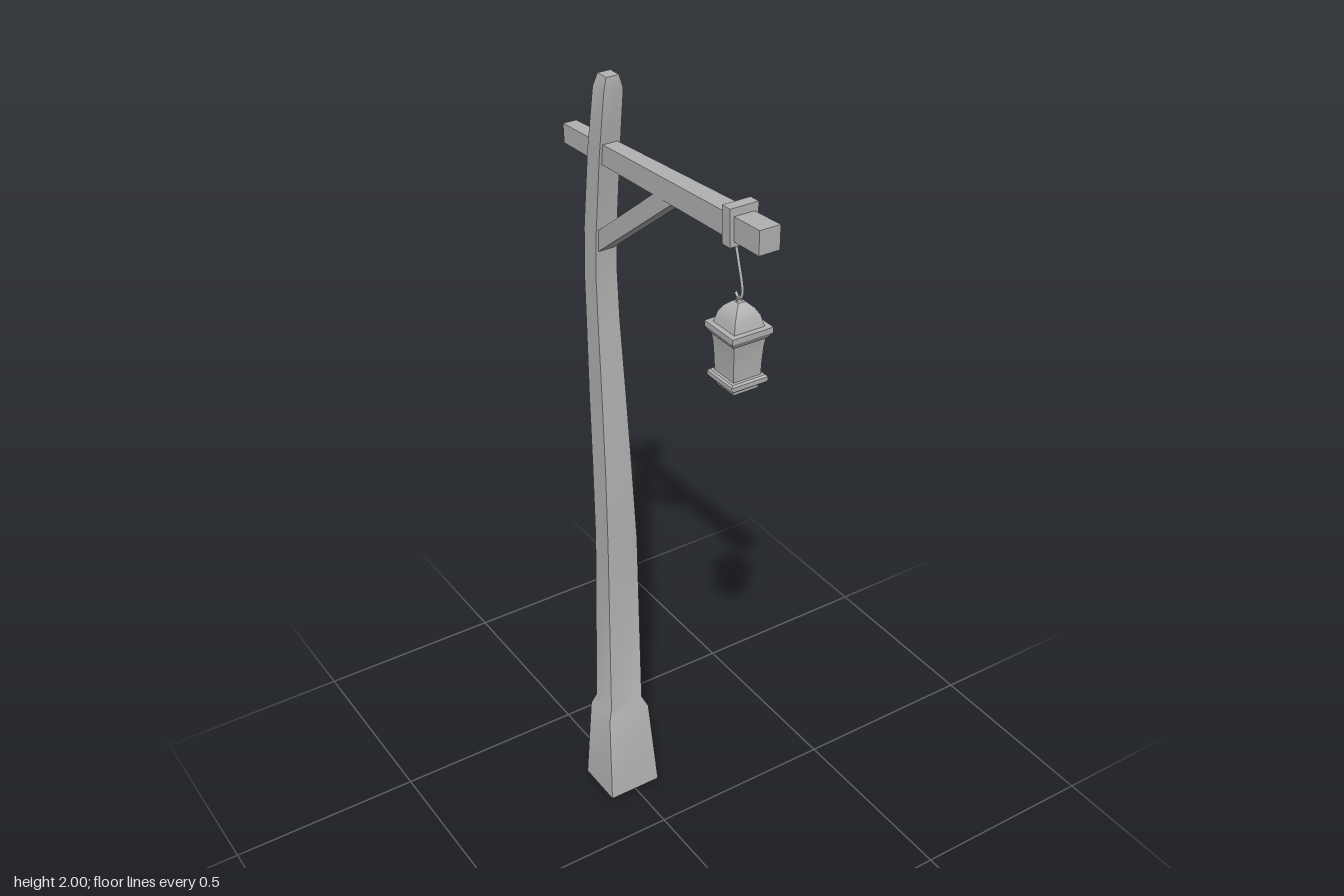
import * as THREE from 'three';
import { toCreasedNormals } from 'three/addons/utils/BufferGeometryUtils.js';

// Skin four-cornered rings into a solid; corners run counterclockwise seen from the last ring.
function loft(rings, capStart = true) {
  const pos = [];
  const quad = (a, b, c, d) => pos.push(...a, ...b, ...c, ...a, ...c, ...d);
  for (let r = 0; r < rings.length - 1; r++) {
    const lo = rings[r], hi = rings[r + 1];
    for (let i = 0; i < 4; i++) {
      const j = (i + 1) % 4;
      quad(lo[i], lo[j], hi[j], hi[i]);
    }
  }
  const first = rings[0], last = rings[rings.length - 1];
  quad(last[0], last[1], last[2], last[3]);
  if (capStart) quad(first[3], first[2], first[1], first[0]);
  const geo = new THREE.BufferGeometry();
  geo.setAttribute('position', new THREE.Float32BufferAttribute(pos, 3));
  return toCreasedNormals(geo, 0.45);
}

// Horizontal ring at height y, spanning z0 (front) to z1 (back)
const level = (y, hx, z0, z1, cx = 0) =>
  [[cx + hx, y, z0], [cx + hx, y, z1], [cx - hx, y, z1], [cx - hx, y, z0]];

// Ring for beams running towards the front: low and high corners as [z, y]
const section = (hx, low, high, cx = -0.004) =>
  [[cx + hx, low[1], low[0]], [cx + hx, high[1], high[0]],
    [cx - hx, high[1], high[0]], [cx - hx, low[1], low[0]]];

export function createModel() {
  const group = new THREE.Group();
  const grey = new THREE.MeshStandardMaterial({ color: 0xb4b4b4, side: THREE.DoubleSide });
  grey.name = 'grey';
  const add = (name, geo, parent = group) => {
    const mesh = new THREE.Mesh(geo, grey);
    mesh.name = name;
    parent.add(mesh);
    return mesh;
  };

  // Crooked post with flared foot, open underneath: y, half width, front z, back z
  const post = [
    [0, 0.073, -0.143, -0.273],
    [0.25, 0.06, -0.168, -0.262],
    [0.28, 0.047, -0.18, -0.255],
    [0.8, 0.042, -0.185, -0.244],
    [1.0, 0.037, -0.196, -0.256],
    [1.2, 0.033, -0.21, -0.269],
    [1.4, 0.029, -0.226, -0.279],
    [1.52, 0.028, -0.232, -0.283],
    [1.63, 0.027, -0.228, -0.279],
    [1.82, 0.026, -0.208, -0.257],
    [1.97, 0.024, -0.187, -0.232],
    [2.0, 0.016, -0.19, -0.224],
  ];
  add('post', loft(post.map(([y, hx, z0, z1]) => level(y, hx, z0, z1, -0.004 * y / 2)), false));

  // Tapered cross arm and its diagonal brace
  add('arm', loft([
    section(0.017, [-0.372, 1.791], [-0.375, 1.836]),
    section(0.025, [0.375, 1.83], [0.375, 1.884]),
  ]));
  add('brace', loft([
    section(0.02, [-0.24, 1.577], [-0.24, 1.628]),
    section(0.02, [0.075, 1.822], [0.0, 1.815]),
  ]));

  // Strap around the arm
  const strap = add('strap', new THREE.BoxGeometry(0.068, 0.082, 0.027));
  strap.position.set(-0.004, 1.855, 0.277);
  strap.rotation.x = -0.03;

  // S-shaped hook
  const hookPath = new THREE.CatmullRomCurve3([
    [0.29, 1.806], [0.285, 1.82], [0.272, 1.82], [0.265, 1.803], [0.272, 1.775],
    [0.289, 1.715], [0.287, 1.697], [0.277, 1.69], [0.267, 1.699],
  ].map(([z, y]) => new THREE.Vector3(-0.003, y, z)));
  add('hook', new THREE.TubeGeometry(hookPath, 32, 0.0035, 6));

  // Square lantern: each part stacked from [y, half width] levels
  const lantern = new THREE.Group();
  lantern.name = 'lantern';
  lantern.position.set(-0.002, 0, 0.279);
  group.add(lantern);
  const parts = {
    lanternFoot: [[1.488, 0.031], [1.503, 0.031]],
    lanternBottomRim: [[1.502, 0.042], [1.507, 0.045], [1.516, 0.045], [1.52, 0.041]],
    lanternBody: [[1.515, 0.034], [1.55, 0.035], [1.585, 0.037], [1.615, 0.041]],
    lanternEaves: [[1.606, 0.042], [1.62, 0.05], [1.632, 0.05]],
    lanternDome: [[1.63, 0.038], [1.641, 0.035], [1.657, 0.031], [1.672, 0.022], [1.684, 0.009]],
  };
  for (const [name, levels] of Object.entries(parts)) {
    add(name, loft(levels.map(([y, h]) => level(y, h, h, -h))), lantern);
  }

  // Small ring on the dome that catches the hook
  const ring = add('lanternRing', new THREE.TorusGeometry(0.007, 0.002, 6, 12), lantern);
  ring.position.y = 1.688;

  return group;
}
